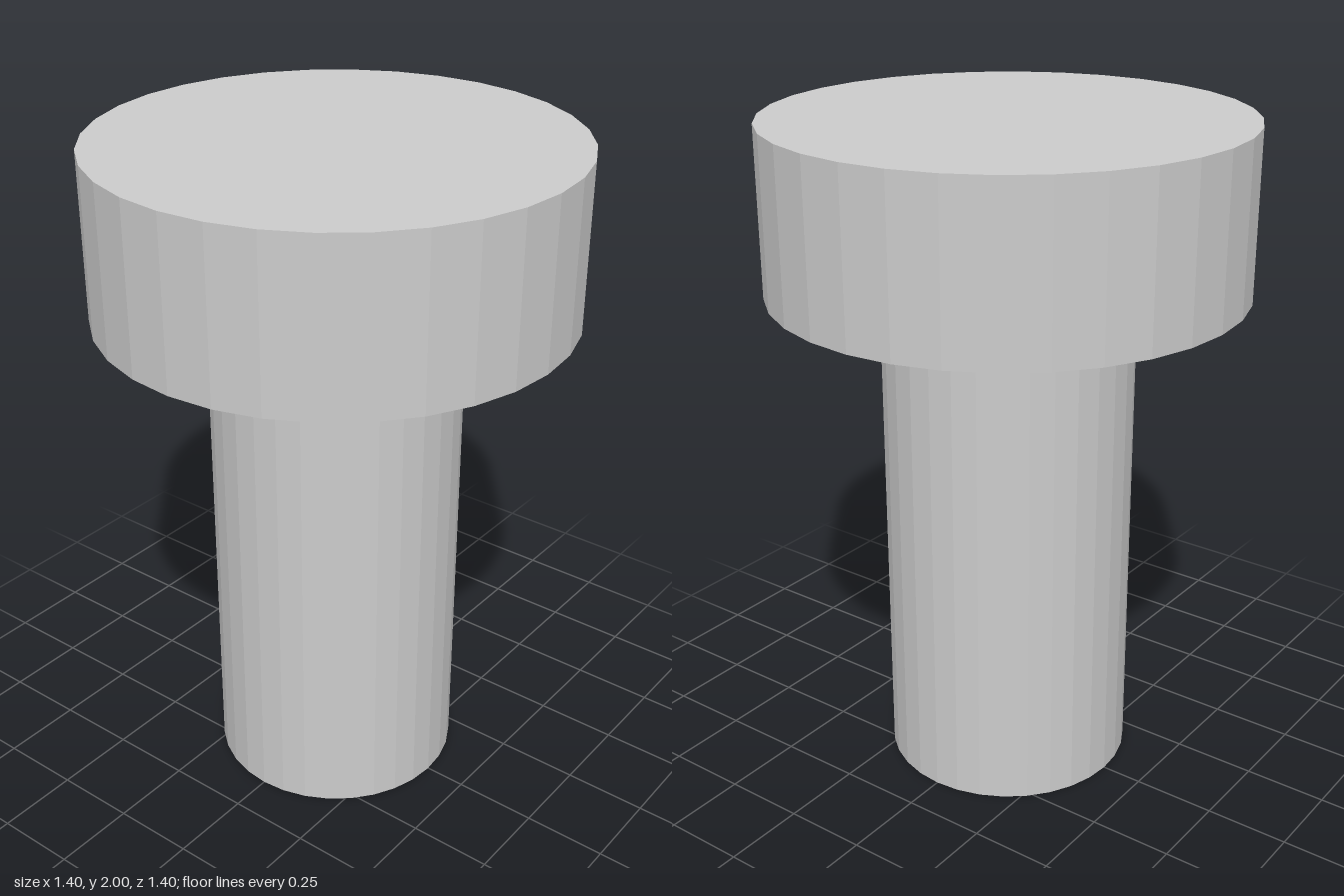
import * as THREE from 'three';

const SIDES = 32;

export function createModel() {
  const group = new THREE.Group();
  group.name = 'bolt';
  const material = new THREE.MeshStandardMaterial({ color: 0xcccccc, flatShading: true });

  // Upright faceted cylinder between two heights
  const addCylinder = (name, radius, bottom, top, openEnded = false) => {
    const geometry = new THREE.CylinderGeometry(radius, radius, top - bottom, SIDES, 1, openEnded);
    const mesh = new THREE.Mesh(geometry, material);
    mesh.name = name;
    mesh.position.y = (bottom + top) / 2;
    group.add(mesh);
  };

  addCylinder('shaft', 0.373, 0, 1.505);
  addCylinder('head', 0.7, 1.505, 2);

  return group;
}
